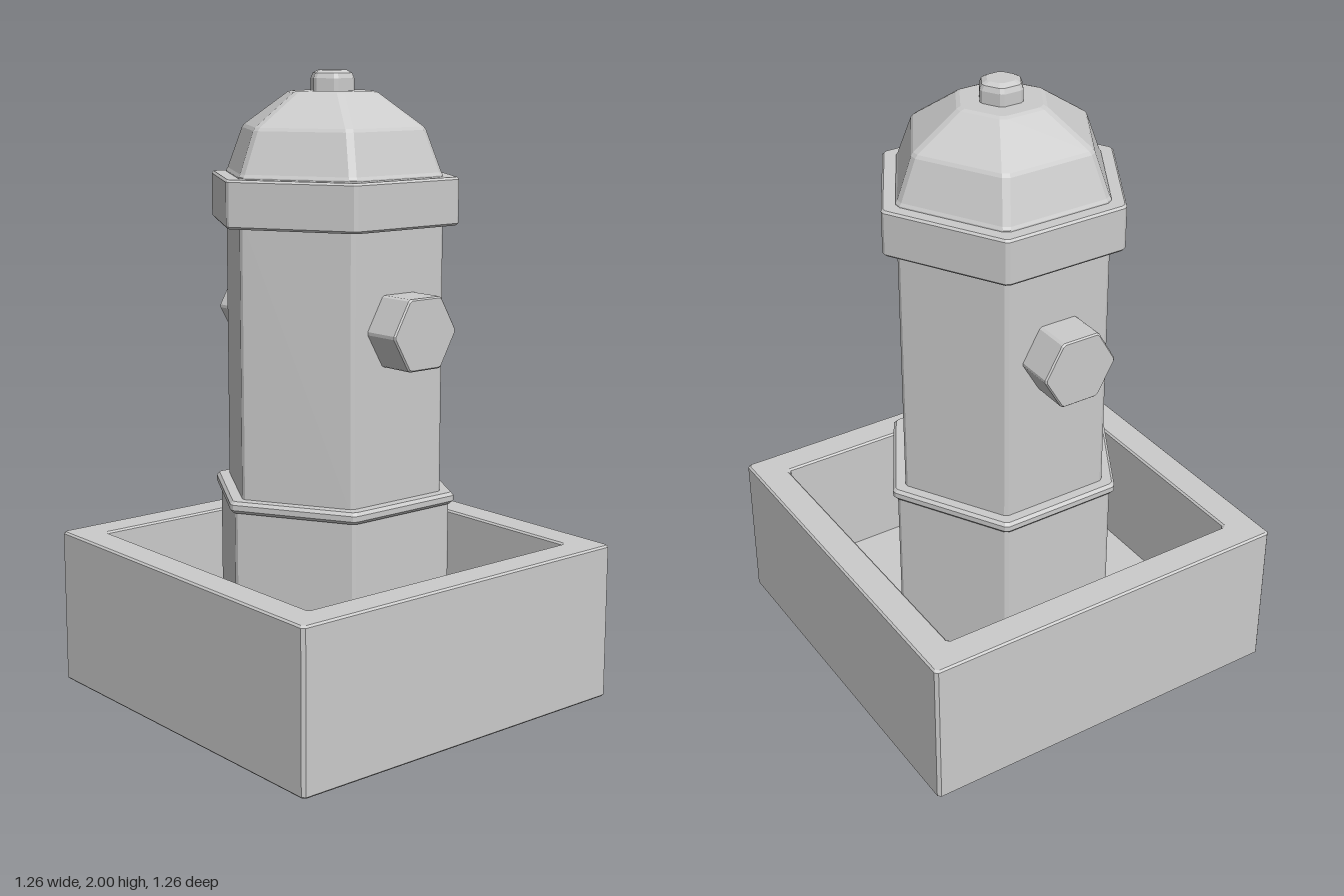
import * as THREE from 'three';

const material = new THREE.MeshStandardMaterial({ color: 0xcccccc, flatShading: true });

// Polygonal turned solid: profile of [corner radius, height], with slim chamfers on the corner edges.
function prism(name, sides, profile, startAngle = 0, chamfer = 0.007) {
  const points = profile.map(([r, y]) => new THREE.Vector2(r, y));
  const geometry = new THREE.LatheGeometry(points, sides * 2);
  const position = geometry.attributes.position;
  const half = Math.PI / sides;
  for (let i = 0; i < position.count; i++) {
    const column = Math.floor(i / points.length);
    const { x: r, y } = points[i % points.length];
    const delta = r > 0 ? Math.min(chamfer / r, half * 0.4) : 0;
    const angle = startAngle + Math.floor(column / 2) * 2 * half + (column % 2 ? delta : -delta);
    const radius = r * Math.cos(half) / Math.cos(half - delta);
    position.setXYZ(i, radius * Math.sin(angle), y, radius * Math.cos(angle));
  }
  geometry.computeVertexNormals();
  const mesh = new THREE.Mesh(geometry, material);
  mesh.name = name;
  return mesh;
}

// Closed straight profile with bevelled rims.
function block(r, y0, y1, b = 0.007) {
  return [[0, y0], [r - b, y0], [r, y0 + b], [r, y1 - b], [r - b, y1], [0, y1]];
}

export function createModel() {
  const group = new THREE.Group();
  group.name = 'hydrant';

  // Square open basin with a sunken floor
  const q = Math.SQRT2, b = 0.006;
  const basin = [
    [0, 0], [0.63 - b, 0], [0.63, b], [0.63, 0.508 - b], [0.63 - b, 0.508],
    [0.525 + b, 0.508], [0.525, 0.508 - b], [0.525, 0.1], [0, 0.1],
  ].map(([x, y]) => [x * q, y]);
  group.add(prism('basin', 4, basin, Math.PI / 4));

  // Hexagonal column
  group.add(prism('pedestal', 6, block(0.39, 0.08, 0.67)));
  group.add(prism('lowerRing', 6, block(0.407, 0.66, 0.697, 0.01)));
  group.add(prism('body', 6, block(0.361, 0.68, 1.56)));
  group.add(prism('collar', 6, block(0.411, 1.535, 1.682)));

  // Faceted dome and the nut on top
  group.add(prism('dome', 6, [
    [0, 1.67], [0.362, 1.67], [0.362, 1.686], [0.356, 1.695], [0.306, 1.822],
    [0.298, 1.832], [0.152, 1.932], [0.138, 1.937], [0, 1.937],
  ], 0, 0.012));
  group.add(prism('topNut', 6, [
    [0, 1.92], [0.073, 1.92], [0.073, 1.975], [0.066, 1.991], [0.048, 2], [0, 2],
  ]));

  // Side outlets
  for (const side of [1, -1]) {
    const outlet = prism(side > 0 ? 'leftOutlet' : 'rightOutlet', 6, block(0.126, 0.25, 0.434, 0.005), 0, 0.005);
    outlet.rotation.z = -side * Math.PI / 2;
    outlet.position.y = 1.23;
    group.add(outlet);
  }
  return group;
}
